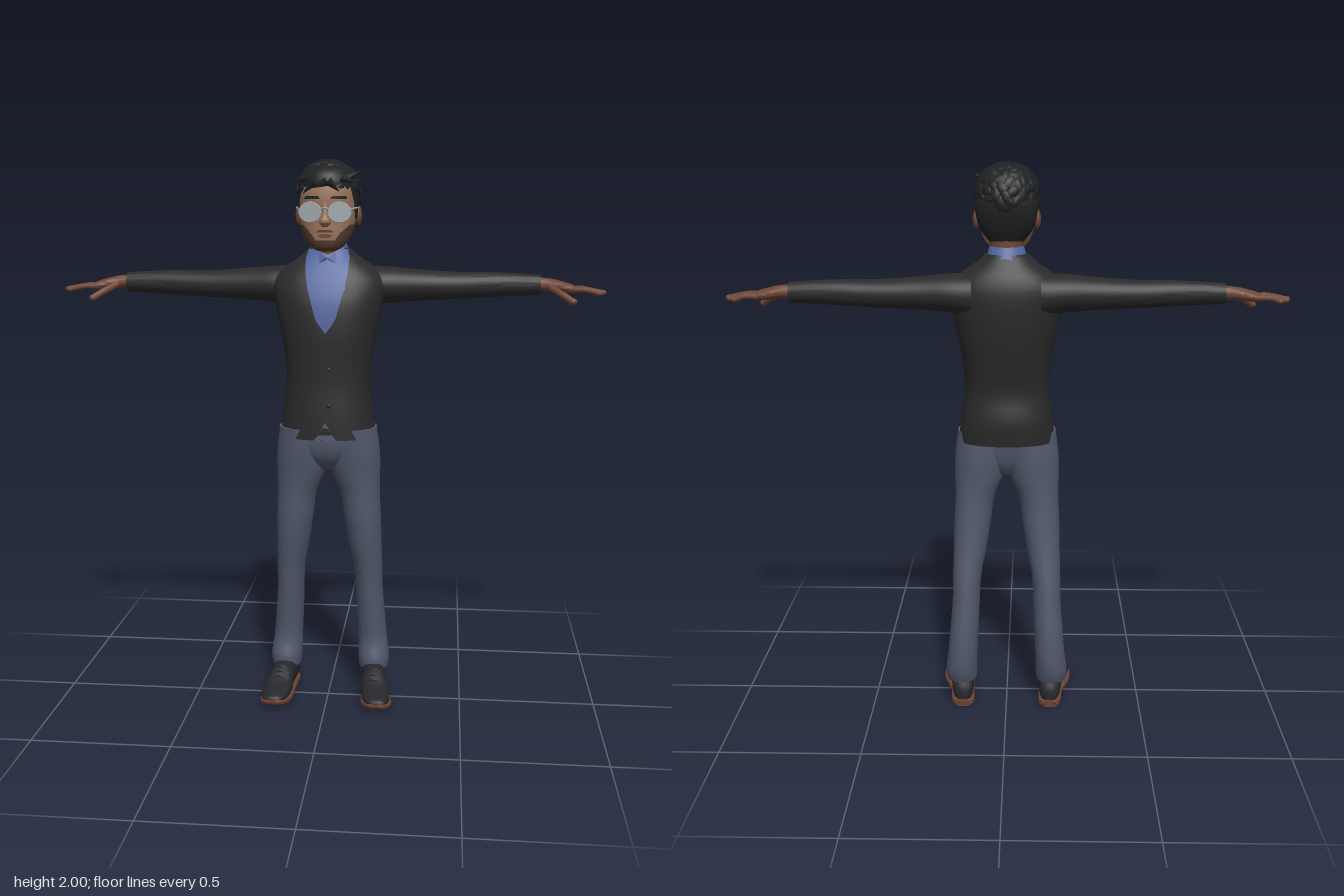
import * as THREE from 'three';
import { toCreasedNormals } from 'three/addons/utils/BufferGeometryUtils.js';

const mat = (name, color) => Object.assign(new THREE.MeshStandardMaterial({ color }), { name });

// Smooth interpolation of sections [along, cx, zFront, zBack, rx]
function sample(S, y) {
  let i = 0;
  while (i < S.length - 2 && y > S[i + 1][0]) i++;
  const h = S[i + 1][0] - S[i][0], t = (y - S[i][0]) / h;
  const slope = (k, c) => {
    const a = S[Math.max(k - 1, 0)], b = S[Math.min(k + 1, S.length - 1)];
    return (b[c] - a[c]) / (b[0] - a[0]);
  };
  return [1, 2, 3, 4].map(c => {
    const t2 = t * t, t3 = t2 * t;
    return (2 * t3 - 3 * t2 + 1) * S[i][c] + (t3 - 2 * t2 + t) * h * slope(i, c)
      + (3 * t2 - 2 * t3) * S[i + 1][c] + (t3 - t2) * h * slope(i + 1, c);
  });
}

// Rows between the sections, each interval split into k
function rowsOf(S, k) {
  const out = [];
  for (let i = 0; i < S.length - 1; i++)
    for (let j = 0; j < k; j++) {
      const t = j / k;
      out.push(S[i].map((v, c) => v + (S[i + 1][c] - v) * t));
    }
  out.push(S[S.length - 1]);
  return out;
}

function grid(P, cols, rows, capped) {
  const idx = [], w = cols + 1, pos = P.flat();
  for (let i = 0; i < rows; i++)
    for (let j = 0; j < cols; j++) {
      const a = i * w + j, b = a + 1, c = a + w, d = c + 1;
      idx.push(a, b, c, b, d, c);
    }
  if (capped) for (const [r, flip] of [[0, true], [rows, false]]) {
    const ring = P.slice(r * w, r * w + cols), n = pos.length / 3;
    pos.push(...[0, 1, 2].map(c => ring.reduce((s, p) => s + p[c], 0) / cols));
    for (let j = 0; j < cols; j++) {
      const a = r * w + j;
      flip ? idx.push(n, a + 1, a) : idx.push(n, a, a + 1);
    }
  }
  const g = new THREE.BufferGeometry();
  g.setAttribute('position', new THREE.Float32BufferAttribute(pos, 3));
  g.setIndex(idx);
  return toCreasedNormals(g, 1.0);
}

// Closed body through rounded cross-sections (n = squareness)
function loft(S, n = 2, seg = 32, k = 4) {
  const rows = rowsOf(S, k), P = [];
  const pw = v => Math.sign(v) * Math.abs(v) ** (2 / n);
  for (const [y] of rows) {
    const [cx, f, b, rx] = sample(S, y);
    for (let j = 0; j <= seg; j++) {
      const a = (j % seg) / seg * Math.PI * 2;
      P.push([cx + rx * pw(Math.sin(a)), y, (f + b) / 2 + (f - b) / 2 * pw(Math.cos(a))]);
    }
  }
  return grid(P, seg, rows.length - 1, true);
}
const alongX = S => loft(S.map(([x, y, f, b, r]) => [x, -y, f, b, r])).rotateZ(-Math.PI / 2);
const alongZ = (S, n) => loft(S.map(([z, cx, lo, hi, r]) => [z, cx, -lo, -hi, r]), n).rotateX(Math.PI / 2);

// Thin patch lying on the front of a loft; rows are [y, xMin, xMax]
function drape(S, R, off = 0.004, n = 2) {
  const rows = rowsOf(R, 6), P = [], cols = 12;
  for (const [y, x0, x1] of rows) {
    const [cx, f, b, r0] = sample(S, y), rx = r0 + off;
    const ang = x => Math.asin(Math.max(-1, Math.min(1, (x - cx) / rx)));
    for (let j = 0; j <= cols; j++) {
      const u = Math.sin(ang(x0) + (ang(x1) - ang(x0)) * j / cols);
      P.push([cx + rx * u, y, (f + b) / 2 + ((f - b) / 2 + off) * (1 - Math.abs(u) ** n) ** (1 / n)]);
    }
  }
  return grid(P, cols, rows.length - 1, false);
}

function mirrored(geo) {
  const g = geo.clone().scale(-1, 1, 1);
  const src = g.index ? [...g.index.array] : [...Array(g.attributes.position.count).keys()];
  g.setIndex(src.reverse());
  return g;
}
const ball = (x, y, z, rx, ry, rz) => new THREE.SphereGeometry(1, 16, 12).scale(rx, ry, rz).translate(x, y, z);
const tube = (pts, r) => new THREE.TubeGeometry(new THREE.CatmullRomCurve3(pts.map(p => new THREE.Vector3(...p))), 10, r, 8);

export function createModel() {
  const model = new THREE.Group();
  model.name = 'standingMan';
  const skin = mat('skin', 0x6e4636), face = mat('faceSkin', 0x9a735b), beard = mat('beard', 0x523a2e);
  const hair = mat('hair', 0x1f2122), jacket = mat('jacket', 0x2a2a2a), shirt = mat('shirt', 0x50639c);
  const cloth = mat('trousers', 0x535a6e), leather = mat('shoeLeather', 0x26272a);
  const sole = mat('shoeSole', 0x6b4232), lens = mat('lens', 0x9fa7ab);
  const add = (name, geo, m) => {
    const mesh = new THREE.Mesh(geo, m);
    mesh.name = name;
    model.add(mesh);
  };
  const pair = (name, geo, m) => {
    add('left' + name, geo, m);
    add('right' + name, mirrored(geo), m);
  };

  // Jacket body, lapels, pockets and the open front
  const T = [[1.015, 0, .115, -.14, .176], [1.1, 0, .112, -.147, .164], [1.2, 0, .104, -.13, .151],
    [1.3, 0, .105, -.145, .157], [1.4, 0, .107, -.163, .175], [1.5, 0, .097, -.172, .195],
    [1.57, 0, .074, -.17, .203], [1.62, 0, .05, -.155, .165], [1.66, 0, .025, -.132, .108], [1.69, 0, .01, -.115, .075]];
  const N = 2.3;
  add('jacketBody', loft(T, N, 48), jacket);
  add('shirtFront', drape(T, [[1.4, -.002, .002], [1.45, -.04, .04], [1.5, -.057, .057], [1.57, -.07, .07],
    [1.64, -.083, .083], [1.688, -.07, .07]], .004, N), shirt);
  pair('LowerLapel', drape(T, [[1.38, -.004, .006], [1.45, .036, .066], [1.55, .064, .115]], .009, N), jacket);
  pair('UpperLapel', drape(T, [[1.558, .066, .1], [1.6, .074, .112], [1.66, .078, .105]], .009, N), jacket);
  pair('PocketFlap', drape(T, [[1.19, .085, .147], [1.215, .087, .147]], .007, N), jacket);
  add('jacketOpening', drape(T, [[1.016, -.04, .04], [1.04, -.022, .022], [1.08, -.001, .001]], .003, N), cloth);
  add('belt', drape(T, [[1.035, -.026, .026], [1.06, -.01, .01]], .005, N), leather);
  for (const y of [1.14, 1.27]) add('jacketButton', ball(.012, y, .109, .008, .008, .004), leather);

  // Shirt collar
  const band = new THREE.CylinderGeometry(.062, .078, .06, 32, 1, true).scale(1, 1, .95).rotateX(.35).translate(0, 1.68, -.045);
  const collarMat = shirt;
  collarMat.side = THREE.DoubleSide;
  add('collarBand', band, collarMat);
  const wing = new THREE.ExtrudeGeometry(new THREE.Shape([[0, .012], [.066, .055], [.08, .02], [.052, -.03]]
    .map(p => new THREE.Vector2(...p))), { depth: .006, bevelEnabled: false });
  pair('CollarWing', wing.rotateX(-.5).rotateY(.45).translate(.002, 1.645, .043), shirt);

  // Sleeves and hands
  pair('Sleeve', alongX([[.12, 1.55, 0, -.165, .075], [.2, 1.557, -.002, -.162, .067], [.3, 1.557, -.02, -.15, .058],
    [.45, 1.556, -.04, -.142, .049], [.6, 1.56, -.053, -.136, .044], [.755, 1.56, -.06, -.128, .036]]), jacket);
  pair('Palm', alongX([[.74, 1.562, -.07, -.12, .025], [.79, 1.56, -.066, -.121, .023], [.83, 1.553, -.05, -.124, .021],
    [.87, 1.546, -.04, -.122, .016], [.888, 1.543, -.045, -.118, .008]]), skin);
  const fingers = [[-.113, .942, -.118], [-.092, .965, -.092], [-.07, .974, -.063], [-.05, .958, -.03]];
  for (const [z, tx, tz] of fingers) {
    pair('Finger', tube([[.86, 1.546, z], [.91, 1.546, (z + tz) / 2], [tx, 1.536, tz]], .0098), skin);
    pair('Fingertip', ball(tx, 1.536, tz, .013, .0098, .0098), skin);
  }
  pair('Thumb', tube([[.79, 1.553, -.07], [.83, 1.53, -.03], [.865, 1.508, -.005]], .0125), skin);
  pair('ThumbTip', ball(.865, 1.508, -.005, .015, .0125, .0125), skin);

  // Trousers
  pair('TrouserLeg', loft([[.095, .168, -.02, -.142, .055], [.13, .169, -.012, -.156, .059], [.2, .164, -.03, -.165, .055],
    [.3, .157, -.02, -.162, .053], [.4, .151, -.005, -.15, .051], [.5, .147, .012, -.137, .053], [.6, .136, .033, -.119, .061],
    [.7, .127, .05, -.108, .068], [.8, .117, .06, -.102, .073], [.88, .102, .073, -.106, .089],
    [.95, .096, .087, -.112, .094], [1.05, .09, .1, -.112, .088]]), cloth);
  add('trouserHips', loft([[.89, 0, .03, -.06, .05], [.93, 0, .07, -.085, .12], [.98, 0, .092, -.1, .17], [1.05, 0, .1, -.112, .168]]), cloth);

  // Shoes
  pair('ShoeUpper', alongZ([[-.143, .163, .02, .07, .022], [-.125, .163, .015, .105, .037], [-.05, .168, .015, .125, .043],
    [.015, .176, .015, .115, .046], [.07, .184, .015, .08, .053], [.125, .19, .02, .062, .049], [.16, .192, .027, .052, .033],
    [.17, .192, .034, .045, .015]], 2.3), leather);
  pair('ShoeSole', alongZ([[-.147, .163, .01, .027, .022], [-.13, .163, .008, .027, .04], [-.05, .168, .01, .027, .044],
    [.01, .178, .004, .026, .051], [.07, .187, .001, .025, .058], [.125, .191, .007, .031, .053], [.163, .192, .018, .039, .036],
    [.176, .192, .027, .041, .014]], 4), sole);
  pair('ShoeHeel', alongZ([[-.146, .163, 0, .02, .026], [-.13, .163, 0, .02, .04], [-.055, .167, 0, .02, .042]], 4), sole);
  for (const [z, y] of [[.02, .113], [.04, .102], [.06, .09]])
    pair('ShoeLace', tube([[.157, y - .008, z], [.178, y, z], [.2, y - .008, z]], .004), leather);

  // Head, neck and facial features
  const H = [[1.683, 0, .09, .04, .025], [1.695, 0, .106, .0, .05], [1.725, 0, .113, -.05, .077], [1.77, 0, .113, -.09, .094],
    [1.82, 0, .113, -.115, .101], [1.87, 0, .114, -.123, .102], [1.92, 0, .103, -.12, .096], [1.96, 0, .07, -.09, .07]];
  add('neck', loft([[1.62, 0, .02, -.11, .062], [1.7, 0, .025, -.1, .059], [1.78, 0, .03, -.1, .065]]), skin);
  add('head', loft(H, 2.15), face);
  add('beard', drape(H, [[1.684, -.03, .03], [1.7, -.09, .09], [1.722, -.09, .09]], .003, 2.15), beard);
  pair('BeardSide', drape(H, [[1.72, .033, .2], [1.745, .05, .2], [1.775, .082, .2]], .003, 2.15), beard);
  add('moustache', drape(H, [[1.749, -.032, .032], [1.757, -.022, .022]], .003, 2.15), beard);
  add('lips', drape(H, [[1.731, -.014, .014], [1.738, -.028, .028], [1.744, -.012, .012]], .005, 2.15), skin);
  add('nose', loft([[1.768, 0, .12, .08, .012], [1.784, 0, .141, .08, .021], [1.805, 0, .133, .08, .013], [1.85, 0, .117, .08, .009]]), face);
  pair('Ear', ball(.106, 1.805, -.02, .013, .034, .022), skin);
  pair('Eyebrow', drape(H, [[1.863, .018, .075], [1.873, .025, .07]], .004, 2.15), hair);
  pair('Sideburn', drape(H, [[1.795, .0985, .2], [1.85, .096, .2], [1.9, .085, .2]], .004, 2.15), hair);

  // Glasses
  const disc = r => new THREE.CylinderGeometry(r, r, .005, 32).rotateX(Math.PI / 2);
  pair('Lens', disc(.037).scale(1.05, .9, 1).rotateY(.18).translate(.051, 1.818, .121), lens);
  pair('LensRim', new THREE.TorusGeometry(.037, .0028, 6, 32).scale(1.05, .9, 1).rotateY(.18).translate(.051, 1.818, .121), lens);
  pair('GlassesArm', tube([[.088, 1.828, .113], [.104, 1.832, .07], [.108, 1.832, -.02]], .003), lens);
  add('glassesBridge', tube([[-.016, 1.828, .127], [0, 1.833, .131], [.016, 1.828, .127]], .003), lens);

  // Hair: smooth cap covered with overlapping curls
  add('hairCap', loft([[1.735, 0, -.05, -.098, .06], [1.775, 0, -.04, -.118, .09], [1.82, 0, -.03, -.133, .104],
    [1.865, 0, .01, -.14, .11], [1.895, 0, .1, -.138, .109], [1.935, 0, .103, -.13, .105], [1.965, 0, .08, -.105, .085],
    [1.985, 0, .03, -.055, .045]]), hair);
  let seed = 7;
  const rnd = () => (seed = (seed * 16807) % 2147483647) / 2147483647;
  const up = new THREE.Vector3(0, 1, 0);
  for (let i = 0; i < 110; i++) {
    const v = 1 - 1.45 * (i + .5) / 110, a = i * 2.39996, r = Math.sqrt(1 - v * v);
    const n = new THREE.Vector3(r * Math.sin(a), v, r * Math.cos(a));
    if (n.y < .15 && n.z > -.25) continue;
    const curl = new THREE.SphereGeometry(1, 8, 6).scale(.016 + .006 * rnd(), .012, .028 + .008 * rnd());
    curl.rotateY(rnd() * 2.4 - 1.2).rotateX(rnd() * .5 - .25);
    curl.applyQuaternion(new THREE.Quaternion().setFromUnitVectors(up, n));
    add('curl', curl.translate(n.x * .106, 1.883 + n.y * .106, -.018 + n.z * .117), hair);
  }
  // Loose tufts along the fringe
  const tufts = [[.095, 1.945, .06, -1.1], [.08, 1.925, .09, -1.9], [-.09, 1.93, .07, 1.7], [-.06, 1.9, .1, 2.4], [.03, 1.905, .108, -2.3], [-.02, 1.91, .11, 2], [.1, 1.905, .03, -2.4]];
  for (const [x, y, z, tilt] of tufts)
    add('tuft', new THREE.ConeGeometry(.016, .055, 8).rotateZ(tilt).translate(x, y, z), hair);
  return model;
}
